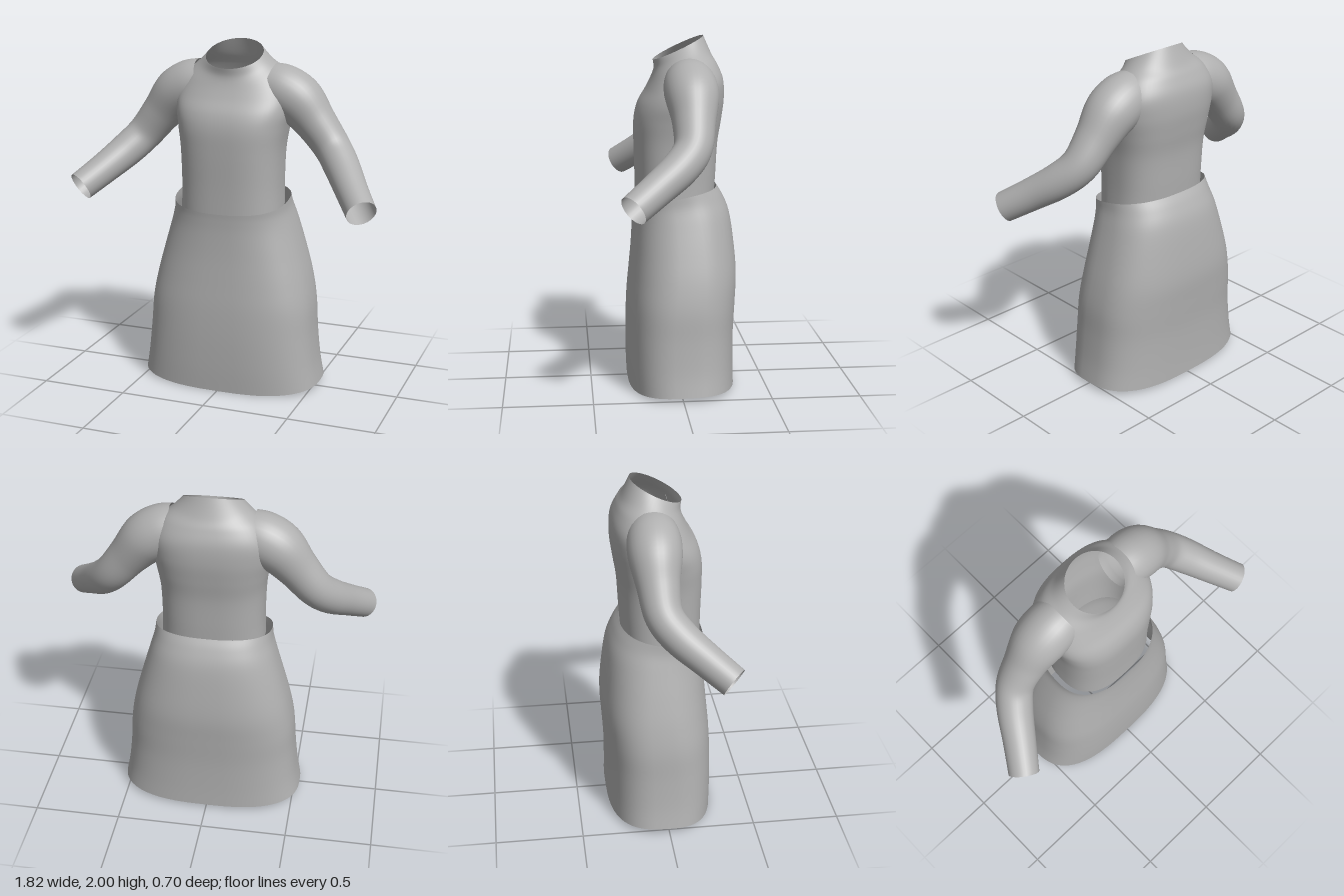
import * as THREE from 'three';

const fabric = new THREE.MeshStandardMaterial({ color: 0xb0b0b0, side: THREE.DoubleSide });
fabric.name = 'greyFabric';

// Smoothly resample rows of numbers, column by column
function resample(rows, count) {
  const columns = rows[0].map((_, c) => new THREE.SplineCurve(rows.map((r, i) => new THREE.Vector2(i, r[c]))));
  return Array.from({ length: count + 1 }, (_, i) => columns.map((s) => s.getPoint(i / count).y));
}

// Open-ended smooth skin over closed rings of points
function skin(name, rings) {
  const n = rings[0].length;
  const index = [];
  for (let i = 0; i < rings.length - 1; i++) {
    for (let j = 0; j < n; j++) {
      const a = i * n + j, b = i * n + (j + 1) % n;
      index.push(a, a + n, b, b, a + n, b + n);
    }
  }
  const geometry = new THREE.BufferGeometry().setFromPoints(rings.flat());
  geometry.setIndex(index);
  geometry.computeVertexNormals();
  const mesh = new THREE.Mesh(geometry, fabric);
  mesh.name = name;
  return mesh;
}

// Rounded body ring: front y, back y, half width, front z, back z, side lift, roundness
function bodyRing([yFront, yBack, w, zFront, zBack, lift, power], sides = 56) {
  return Array.from({ length: sides }, (_, j) => {
    const a = (j / sides) * Math.PI * 2;
    const round = (v) => Math.sign(v) * Math.abs(v) ** power;
    const s = round(Math.sin(a));
    const y = THREE.MathUtils.lerp(yBack, yFront, (s + 1) / 2) + lift * Math.cos(a) ** 2;
    return new THREE.Vector3(w * round(Math.cos(a)), y, THREE.MathUtils.lerp(zBack, zFront, (s + 1) / 2));
  });
}

const SKIRT = [
  [0.005, 0.02, 0.535, 0.285, -0.325, 0.022, 0.72],
  [0.15, 0.15, 0.513, 0.29, -0.323, 0.01, 0.72],
  [0.33, 0.33, 0.495, 0.29, -0.325, 0, 0.73],
  [0.5, 0.5, 0.483, 0.283, -0.335, 0, 0.74],
  [0.65, 0.66, 0.455, 0.27, -0.343, 0, 0.76],
  [0.8, 0.83, 0.413, 0.257, -0.33, 0, 0.78],
  [0.94, 1.0, 0.368, 0.25, -0.305, 0, 0.8],
  [1.02, 1.1, 0.342, 0.25, -0.265, 0, 0.8],
  [1.06, 1.155, 0.335, 0.252, -0.23, 0.01, 0.8],
];

const BODICE = [
  [1.03, 1.1, 0.295, 0.232, -0.217, 0, 0.78],
  [1.2, 1.22, 0.291, 0.233, -0.225, 0, 0.76],
  [1.4, 1.4, 0.296, 0.238, -0.235, 0, 0.74],
  [1.53, 1.53, 0.315, 0.236, -0.255, 0, 0.75],
  [1.62, 1.65, 0.335, 0.214, -0.27, 0, 0.78],
  [1.7, 1.76, 0.33, 0.168, -0.265, 0, 0.78],
  [1.77, 1.84, 0.285, 0.135, -0.235, 0.02, 0.85],
  [1.82, 1.9, 0.215, 0.122, -0.202, 0.03, 0.95],
  [1.865, 2.0, 0.165, 0.128, -0.158, 0, 1],
];

// Sleeve centre line and radius, from inside the shoulder to the cuff
const SLEEVE = [
  [0.2, 1.755, -0.055, 0.135],
  [0.28, 1.73, -0.057, 0.148],
  [0.37, 1.675, -0.06, 0.145],
  [0.47, 1.56, -0.057, 0.118],
  [0.57, 1.435, -0.04, 0.104],
  [0.65, 1.345, 0.035, 0.1],
  [0.74, 1.252, 0.16, 0.091],
  [0.835, 1.16, 0.292, 0.085],
];

function sleeve(name, side) {
  const rows = resample(SLEEVE, 42);
  const centres = rows.map(([x, y, z]) => new THREE.Vector3(x, y, z));
  const last = rows.length - 1;
  const rings = rows.map(([, , , radius], i) => {
    const t = centres[Math.min(i + 1, last)].clone().sub(centres[Math.max(i - 1, 0)]).normalize();
    const u = new THREE.Vector3().crossVectors(t, new THREE.Vector3(0, 0, 1)).normalize();
    const v = new THREE.Vector3().crossVectors(u, t);
    return Array.from({ length: 32 }, (_, j) => {
      const a = (side * j / 32) * Math.PI * 2;
      const p = centres[i].clone().addScaledVector(u, radius * Math.cos(a)).addScaledVector(v, radius * Math.sin(a));
      p.x *= side;
      return p;
    });
  });
  return skin(name, rings);
}

export function createModel() {
  const group = new THREE.Group();
  group.name = 'dress';
  group.add(
    skin('skirt', resample(SKIRT, 40).map((r) => bodyRing(r))),
    skin('bodice', resample(BODICE, 48).map((r) => bodyRing(r))),
    sleeve('leftSleeve', 1),
    sleeve('rightSleeve', -1),
  );
  return group;
}
